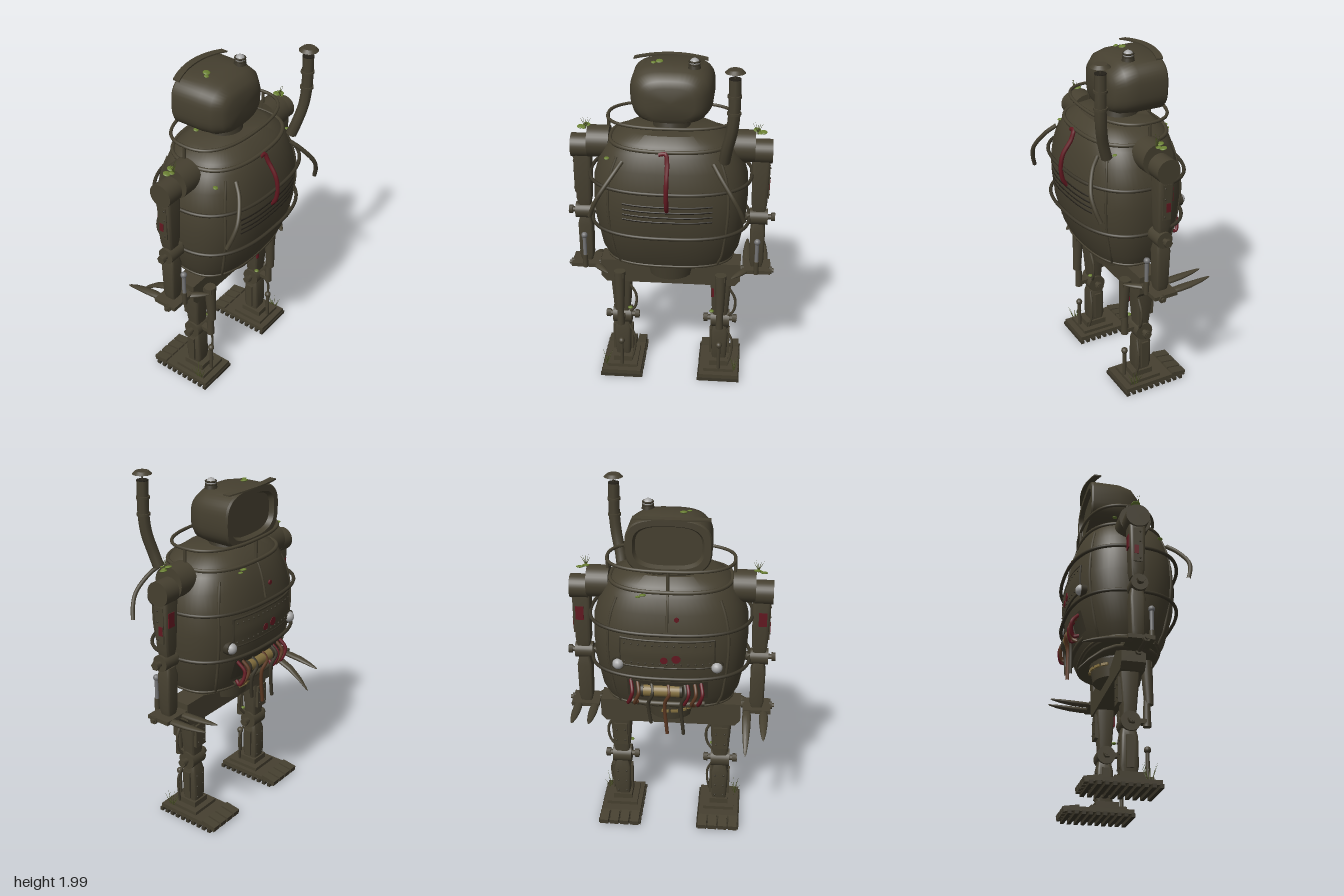
import * as THREE from 'three';
import { toCreasedNormals } from 'three/addons/utils/BufferGeometryUtils.js';

const mat = (name, color, side = THREE.FrontSide) => Object.assign(new THREE.MeshStandardMaterial({ color, side }), { name });
const V = (p) => new THREE.Vector3(...p);
const N = 2.55; // roundness of the hull outline

// Hull cross-sections: height, half width, half depth
const HULL = [[0.82, 0.345, 0.2], [0.9, 0.385, 0.24], [1.06, 0.415, 0.284], [1.2, 0.425, 0.296], [1.32, 0.42, 0.288],
  [1.42, 0.39, 0.268], [1.5, 0.35, 0.242], [1.55, 0.305, 0.213], [1.59, 0.23, 0.16]];

function hullAt(y) {
  let i = 0;
  while (i < HULL.length - 2 && HULL[i + 1][0] < y) i++;
  const [a, b] = [HULL[i], HULL[i + 1]], t = (y - a[0]) / (b[0] - a[0]);
  return [a[1] + (b[1] - a[1]) * t, a[2] + (b[2] - a[2]) * t];
}
// Point on the hull at x, y; s picks the +z or -z side
function onHull(x, y, s, off = 0) {
  const [hx, hz] = hullAt(y);
  return [x, y, s * (off + hz * Math.pow(Math.max(0, 1 - Math.pow(Math.abs(x) / hx, N)), 1 / N))];
}
function outline(hx, hz, n, t) {
  const c = Math.cos(t), s = Math.sin(t);
  return [hx * Math.sign(c) * Math.abs(c) ** (2 / n), hz * Math.sign(s) * Math.abs(s) ** (2 / n)];
}
// Skin over stacked superellipse sections [y, half x, half z, centre z]
function loft(sections, n, seg = 48) {
  const p = [], idx = [], last = sections.length - 1;
  for (const [y, hx, hz, cz = 0] of sections)
    for (let j = 0; j < seg; j++) { const [x, z] = outline(hx, hz, n, j / seg * Math.PI * 2); p.push(x, y, z + cz); }
  const c0 = p.length / 3;
  for (const i of [0, last]) p.push(0, sections[i][0], sections[i][3] || 0);
  for (let j = 0; j < seg; j++) {
    const k = (j + 1) % seg;
    for (let i = 0; i < last; i++) {
      const a = i * seg + j, b = i * seg + k;
      idx.push(a, a + seg, b + seg, a, b + seg, b);
    }
    idx.push(c0, j, k, c0 + 1, last * seg + k, last * seg + j);
  }
  const g = new THREE.BufferGeometry();
  g.setAttribute('position', new THREE.Float32BufferAttribute(p, 3));
  g.setIndex(idx);
  return toCreasedNormals(g, 0.6);
}
const tube = (pts, r, closed = false, seg = 32) => new THREE.TubeGeometry(new THREE.CatmullRomCurve3(pts.map(V), closed), seg, r, 8, closed);
// Closed tube hoop round a superellipse
const hoop = (hx, hz, n, r, y, cz = 0) => tube(Array.from({ length: 40 }, (_, j) => {
  const [x, z] = outline(hx, hz, n, j / 20 * Math.PI);
  return [x, y, z + cz];
}), r, true, 80);
const box = (x, y, z) => new THREE.BoxGeometry(x, y, z);
const cyl = (r1, r2, h, n = 24) => new THREE.CylinderGeometry(r1, r2, h, n);
const ball = (r) => new THREE.SphereGeometry(r, 16, 10);
const rivet = () => new THREE.SphereGeometry(0.006, 6, 4);
// Thin plate lying on the -z side of the hull
function hullPlate(w, h, y, off) {
  const g = new THREE.PlaneGeometry(w, h, 20, 6), a = g.attributes.position;
  for (let i = 0; i < a.count; i++) a.setXYZ(i, ...onHull(-a.getX(i), a.getY(i) + y, -1, off));
  g.computeVertexNormals();
  return g;
}
// Flattened blade pointing to -z that sinks by drop at its tip
function blade(r, len, drop) {
  const prof = [[0, 0], [0.8, 0], [1, 0.25], [0.95, 0.5], [0.65, 0.78], [0.3, 0.95], [0, 1]].map(([a, b]) => new THREE.Vector2(a * r, b * len));
  const g = new THREE.LatheGeometry(prof, 12).rotateX(-Math.PI / 2), a = g.attributes.position;
  for (let i = 0; i < a.count; i++) a.setY(i, a.getY(i) * 0.6 - drop * (a.getZ(i) / len) ** 2);
  g.computeVertexNormals();
  return g;
}

export function createModel() {
  const root = new THREE.Group();
  root.name = 'robot';
  const olive = mat('olive armour', 0x464030), dark = mat('dark metal', 0x3a3528), black = mat('recess', 0x242019), red = mat('red paint', 0x621820), lamp = mat('lamp glass', 0xa8a8a8),
    steel = mat('steel', 0x747475), green = mat('leaf green', 0x6a8032), tan = mat('brass', 0x84703f), rust = mat('rust cable', 0x5c3822), grass = mat('grass', 0x525a2a, THREE.DoubleSide);
  const group = (name) => { const g = new THREE.Group(); g.name = name; root.add(g); return g; };
  const add = (name, geo, m, pos = [0, 0, 0], rot = [0, 0, 0], parent = root) => {
    const mesh = new THREE.Mesh(geo, m);
    mesh.name = name; mesh.position.set(...pos); mesh.rotation.set(...rot); parent.add(mesh);
    return mesh;
  };
  const Q = Math.PI / 2;

  // Hull with hoops, seams and vents
  const body = group('body');
  const onBody = (name, geo, m, pos, rot) => add(name, geo, m, pos, rot, body);
  onBody('hull', loft(HULL, N, 64), olive);
  for (const [y, gx, gz, r, m] of [[1.06, 0.022, 0.022, 0.01, dark], [1.325, 0.024, 0.026, 0.01, dark], [1.53, 0.006, 0.006, 0.011, olive], [0.835, 0, 0, 0.008, olive]]) {
    const [hx, hz] = hullAt(y);
    onBody('hoop', hoop(hx + gx, hz + gz, N, r, y), m);
  }
  for (const s of [-1, 1]) for (const k of [-1, 1])
    onBody('seam', tube([0.83, 0.9, 1.0, 1.1, 1.2, 1.3, 1.4, 1.48].map((y) => onHull(k * hullAt(y)[0] * 0.76, y, s)), 0.008), olive);
  onBody('upperSeam', tube([1.33, 1.4, 1.47, 1.53].map((y) => onHull(0, y, -1)), 0.007), olive);
  const span = (w, y, s, off) => [-1, -0.75, -0.5, -0.25, 0, 0.25, 0.5, 0.75, 1].map((t) => onHull(t * w, y, s, off));
  for (const y of [1.15, 1.18, 1.21, 1.24]) onBody('ventSlot', tube(span(0.24, y, 1, -0.003), 0.006), black);

  // Riveted panel and lamps
  onBody('rivetedPanel', hullPlate(0.5, 0.15, 1.2, 0.008), olive);
  for (const y of [1.145, 1.255]) for (let i = -6; i <= 6; i++) onBody('rivet', rivet(), dark, onHull(i * 0.038, y, -1, 0.008));
  for (const y of [1.12, 1.28]) onBody('panelEdge', tube(span(0.25, y, -1, 0.004), 0.006), dark);
  for (const k of [-1, 1]) onBody('panelSide', tube([1.12, 1.17, 1.23, 1.28].map((y) => onHull(k * 0.25, y, -1, 0.004)), 0.006), dark);
  for (const [x, y, r] of [[0.015, 1.17, 0.02], [-0.05, 1.18, 0.024], [-0.05, 1.4, 0.013]]) onBody('redScuff', cyl(r, r, 0.008, 10), red, onHull(x, y, -1, 0.008), [Q, 0, 0]);
  for (const s of [-1, 1]) {
    onBody('lampHousing', cyl(0.034, 0.038, 0.05), dark, [s * 0.265, 1.12, -0.24], [Q, 0, 0]);
    onBody('lamp', ball(0.031), lamp, [s * 0.265, 1.12, -0.262]);
  }

  // Open machinery bay with tank and loose cables
  onBody('bayRecess', hullPlate(0.44, 0.12, 0.965, 0.004), dark);
  onBody('tank', cyl(0.034, 0.034, 0.2), tan, [0.03, 0.965, -0.264], [0, 0, Q]);
  for (const x of [-0.075, 0.135]) onBody('tankCap', cyl(0.037, 0.037, 0.014), dark, [x, 0.965, -0.264], [0, 0, Q]);
  [[-0.105, red, 0.9], [-0.18, red, 0.89], [0.2, red, 0.9], [0.165, rust, 0.88], [-0.145, rust, 0.87], [0.0, rust, 0.7], [-0.09, dark, 0.7], [0.09, dark, 0.76]].forEach(([x, m, y]) =>
    onBody('looseCable', tube([[x, 1.02, -0.25], [x - 0.012, 0.96, -0.296], [x + 0.012, 0.89, -0.28], [x, y, -0.25 - (0.9 - y) * 0.15]], 0.01), m));
  onBody('lowerSill', tube(span(0.2, 0.87, -1, 0.02), 0.014), olive);

  // Pipes and rail on the hull
  onBody('redPipe', tube([[-0.045, 1.52, 0.237], [-0.01, 1.525, 0.24], [0, 1.48, 0.26], [0, 1.4, 0.312], [0, 1.32, 0.325], [0, 1.25, 0.312], [0, 1.22, 0.29]], 0.012), red);
  for (const s of [-1, 1]) onBody('sidePipe', tube([[s * 0.24, 1.47, 0.23], [s * 0.28, 1.42, 0.28], [s * 0.35, 1.32, 0.325], [s * 0.385, 1.25, 0.32], [s * 0.41, 1.18, 0.3]], 0.012), olive);
  onBody('guardRail', hoop(0.342, 0.203, 2.5, 0.009, 1.642, -0.018), olive);
  for (const [x, z] of [[0, -0.22], [0.342, -0.02], [-0.342, -0.02]]) onBody('railPost', cyl(0.009, 0.009, 0.13, 8), olive, [x, 1.58, z]);

  // Exhaust stack
  const stack = group('exhaust');
  add('stackPipe', tube([[0.295, 1.48, 0.205], [0.307, 1.56, 0.23], [0.328, 1.66, 0.252], [0.338, 1.76, 0.26], [0.338, 1.95, 0.26]], 0.031), olive, [0, 0, 0], [0, 0, 0], stack);
  add('stackEnd', cyl(0.031, 0.031, 0.004), black, [0.338, 1.95, 0.26], [0, 0, 0], stack);
  for (const y of [1.77, 1.86]) add('stackBand', cyl(0.036, 0.036, 0.012), olive, [0.338, y, 0.26], [0, 0, 0], stack);
  add('rainCap', cyl(0.035, 0.052, 0.016), olive, [0.338, 1.991, 0.26], [0, 0, 0], stack);
  add('capStem', cyl(0.005, 0.005, 0.05, 6), dark, [0.338, 1.965, 0.26], [0, 0, 0], stack);

  // Neck and head with recessed face
  const head = group('head');
  add('neck', cyl(0.09, 0.11, 0.08), dark, [0, 1.6, -0.03], [0, 0, 0], head);
  add('skull', loft([[-0.1, 0.13, 0.085, 1.745], [-0.085, 0.165, 0.115, 1.75], [-0.04, 0.205, 0.142, 1.76], [0.03, 0.223, 0.152, 1.765], [0.19, 0.225, 0.153, 1.765],
    [0.2, 0.218, 0.147, 1.765], [0.2, 0.185, 0.117, 1.765], [0.175, 0.172, 0.105, 1.765]], 3), olive, [0, 0, 0], [-Q, 0, 0], head);
  const brow = new THREE.BoxGeometry(0.4, 0.008, 0.04, 16, 1, 1), bw = brow.attributes.position;
  for (let i = 0; i < bw.count; i++) {
    const x2 = bw.getX(i) ** 2;
    bw.setY(i, bw.getY(i) - 0.3 * x2);
    bw.setZ(i, bw.getZ(i) + x2);
  }
  brow.computeVertexNormals();
  add('browPlate', brow, olive, [-0.015, 1.922, -0.205], [0, 0, 0], head);
  add('beaconBase', cyl(0.03, 0.034, 0.02), dark, [0.12, 1.918, -0.015], [0, 0, 0], head);
  add('beacon', ball(0.027), lamp, [0.12, 1.936, -0.015], [0, 0, 0], head);
  for (const y of [1.93, 1.945]) add('beaconBand', new THREE.TorusGeometry(0.027, 0.005, 6, 20), dark, [0.12, y, -0.015], [Q, 0, 0], head);

  // Arms
  for (const s of [-1, 1]) {
    const arm = group(s > 0 ? 'leftArm' : 'rightArm');
    const part = (name, geo, m, x, y, z, rot) => add(name, geo, m, [s * x, y, z], rot, arm);
    part('shoulderDrum', cyl(0.088, 0.088, 0.12, 32), olive, 0.395, 1.485, -0.005, [0, 0, Q]);
    part('shoulderCap', cyl(0.066, 0.066, 0.1, 32), olive, 0.5, 1.455, -0.012, [0, 0, Q]);
    part('upperArm', loft([[1.1, 0.035, 0.032], [1.14, 0.043, 0.038], [1.4, 0.05, 0.046], [1.44, 0.04, 0.04]], 6, 32), olive, 0.49, 0, -0.012);
    part('armPlate', box(0.012, 0.2, 0.05), olive, 0.535, 1.28, -0.012);
    part('outerScuff', box(0.006, 0.05, 0.025), red, 0.541, 1.25, -0.02);
    part('armScuff', box(0.045, 0.08, 0.008), red, 0.5, 1.31, -0.056);
    for (const y of [1.2, 1.3, 1.36]) part('rivet', rivet(), dark, 0.541, y, 0);
    part('elbow', cyl(0.046, 0.046, 0.1), olive, 0.49, 1.06, -0.005, [0, 0, Q]);
    part('elbowPin', cyl(0.015, 0.015, 0.18, 12), olive, 0.49, 1.06, -0.005, [0, 0, Q]);
    for (const x of [0.415, 0.57]) part('elbowBolt', cyl(0.024, 0.024, 0.022, 6), olive, x, 1.06, -0.005, [0, 0, Q]);
    part('forearm', loft([[0.74, 0.03, 0.03], [0.78, 0.04, 0.036], [0.98, 0.042, 0.042], [1.03, 0.03, 0.034]], 6, 32), olive, 0.488, 0, -0.012);
    part('pistonSleeve', cyl(0.015, 0.015, 0.08, 12), olive, 0.488, 0.77, 0.07);
    part('pistonRod', cyl(0.011, 0.011, 0.13, 12), steel, 0.488, 0.86, 0.07);
    part('pistonKnob', ball(0.018), steel, 0.488, 0.935, 0.07);
    part('palm', box(0.16, 0.022, 0.14), olive, 0.49, 0.735, -0.005);
    part('wristPin', cyl(0.012, 0.012, 0.26, 10), olive, 0.46, 0.728, 0.02, [0, 0, Q]);
    for (const x of [0.35, 0.41, 0.57]) part('wristBolt', cyl(0.022, 0.022, 0.018, 6), olive, x, 0.728, 0.02, [0, 0, Q]);
    part('innerClaw', blade(0.025, 0.26, s < 0 ? 0.15 : -0.02), olive, 0.435, 0.732, -0.045);
    part('outerClaw', blade(0.025, 0.26, s < 0 ? 0.04 : -0.02), olive, 0.53, 0.732, -0.045);
    part('thumbClaw', blade(0.022, 0.14, 0), olive, 0.44, 0.732, 0.03, [0, Math.PI - s * 0.7, 0]);
    for (const [x, z, r] of [[0.46, -0.01, 0.02], [0.495, -0.008, 0.02], [0.475, 0.008, 0.014]]) part('leaf', ball(r), green, x, x < 0.47 ? 1.576 : 1.565, z, [0.2, 0, 0]).scale.y = 0.3;
    for (let i = 0; i < 5; i++) part('shoulderGrass', new THREE.ConeGeometry(0.003, 0.07, 3), grass, 0.45 + i * 0.007, 1.595, 0.01, [0.2 * (i % 3 - 1), 0, -s * (i - 2) * 0.25]);
  }

  // Waist and pelvis
  const hips = group('hips');
  add('waist', cyl(0.13, 0.13, 0.06, 32), dark, [0, 0.815, 0], [0, 0, 0], hips);
  add('waistDrum', cyl(0.15, 0.13, 0.1, 32), olive, [0, 0.75, -0.005], [0, 0, 0], hips);
  for (const a of [-0.9, -0.55, -0.2, 0.15]) add('waistTab', box(0.04, 0.014, 0.012), tan, [Math.sin(a) * 0.147, 0.765, -0.005 - Math.cos(a) * 0.147], [0, -a, 0], hips);
  const bar = new THREE.Shape([[-0.37, 0.635], [0.37, 0.635], [0.4, 0.67], [0.4, 0.775], [0.26, 0.775], [0.14, 0.74], [-0.14, 0.74], [-0.26, 0.775], [-0.4, 0.775], [-0.4, 0.67]].map((p) => new THREE.Vector2(...p)));
  add('pelvisBar', new THREE.ExtrudeGeometry(bar, { depth: 0.13, bevelEnabled: false }), olive, [0, 0, -0.07], [0, 0, 0], hips);

  // Legs and treaded feet
  for (const s of [-1, 1]) {
    const leg = group(s > 0 ? 'leftLeg' : 'rightLeg');
    leg.position.x = s * 0.29;
    const part = (name, geo, m, x, y, z, rot) => add(name, geo, m, [s * x, y, z], rot, leg);
    part('thigh', loft([[0.4, 0.042, 0.036], [0.46, 0.05, 0.04], [0.62, 0.06, 0.052], [0.66, 0.06, 0.052]], 6, 32), olive, 0, 0, -0.01);
    part('thighPlate', box(0.08, 0.14, 0.02), olive, 0, 0.54, -0.062);
    part('thighDamper', cyl(0.033, 0.024, 0.24), olive, 0, 0.6, 0.095, [-0.05, 0, 0]);
    part('damperRod', cyl(0.018, 0.022, 0.14), olive, 0, 0.43, 0.09);
    part('damperMount', box(0.05, 0.03, 0.09), olive, 0, 0.7, 0.07);
    part('damperFoot', box(0.04, 0.025, 0.09), olive, 0, 0.385, 0.05);
    part('knee', cyl(0.052, 0.052, 0.11), olive, 0, 0.37, -0.008, [0, 0, Q]);
    part('kneePin', cyl(0.016, 0.016, 0.2, 12), olive, 0, 0.37, -0.008, [0, 0, Q]);
    for (const x of [-0.085, 0.085]) part('kneeBolt', cyl(0.025, 0.025, 0.025, 6), olive, x, 0.37, -0.008, [0, 0, Q]);
    part('shin', loft([[0.06, 0.036, 0.034], [0.14, 0.046, 0.05], [0.29, 0.05, 0.046], [0.34, 0.036, 0.036]], 6, 32), olive, 0, 0, -0.012);
    for (const x of [-0.054, 0.054]) part('shinRib', box(0.012, 0.17, 0.04), olive, x, 0.21, -0.012);
    for (const y of [0.13, 0.2, 0.27, 0.5, 0.57]) for (const x of [-0.025, 0.025]) part('rivet', rivet(), dark, x, y, y > 0.4 ? -0.073 : -0.06);
    part('ankleRod', cyl(0.011, 0.011, 0.18, 10), olive, 0, 0.15, 0.09);
    part('ankleKnob', ball(0.019), olive, 0, 0.238, 0.09);
    part('hose', tube([[0.05, 0.6, 0.03], [0.085, 0.53, 0.03], [0.08, 0.45, 0.03], [0.045, 0.4, 0.02]], 0.008), olive, 0, 0, 0);
    part('shinHose', tube([[0.04, 0.32, 0.03], [0.075, 0.24, 0.04], [0.072, 0.15, 0.04], [0.05, 0.07, 0.05]], 0.007), olive, 0, 0, 0);
    if (s > 0) part('thighScuff', box(0.016, 0.06, 0.008), red, -0.045, 0.57, 0.036);
    part('kneeLeaf', ball(0.014), green, -0.05, 0.44, 0.035).scale.y = 0.5;
    part('sole', box(0.23, 0.025, 0.3), olive, 0, 0.04, -0.015);
    part('footDeck', box(0.18, 0.02, 0.2), olive, 0, 0.062, 0);
    part('ankle', box(0.11, 0.04, 0.13), olive, 0, 0.085, 0);
    for (let i = 0; i < 10; i++) part('treadBar', box(0.25, 0.02, 0.02), dark, 0, 0.02, 0.13 - i * 0.039);
    for (let i = 0; i < 4; i++) part('toe', box(0.05, 0.03, 0.09), olive, -0.09 + i * 0.06, 0.042, -0.21, [-0.15, 0, 0]);
    for (let i = 0; i < 7; i++) part('grassBlade', new THREE.ConeGeometry(0.003, 0.09, 3), grass, 0.075 + i * 0.006, 0.1, 0.05 + (i % 3) * 0.025, [0.3 * ((i % 3) - 1), 0, -s * (i - 3) * 0.12]);
  }

  // Scattered leaves
  const plants = group('plants');
  for (const [pos, r] of [[[-0.07, 1.918, -0.085], 0.02], [[-0.1, 1.918, -0.062], 0.013], [onHull(0.13, 1.515, -1, 0.01), 0.018], [onHull(0.155, 1.505, -1, 0.01), 0.014],
    [onHull(-0.33, 1.46, 1, 0.02), 0.014], [onHull(0.31, 1.49, 1, 0.015), 0.012], [[-0.25, 0.78, 0.04], 0.014], [[0.25, 0.78, 0.04], 0.014], [[-0.195, 1.65, -0.06], 0.014]])
    add('leaf', ball(r), green, pos, [0.2, 0, 0], plants).scale.y = 0.35;

  return root;
}
